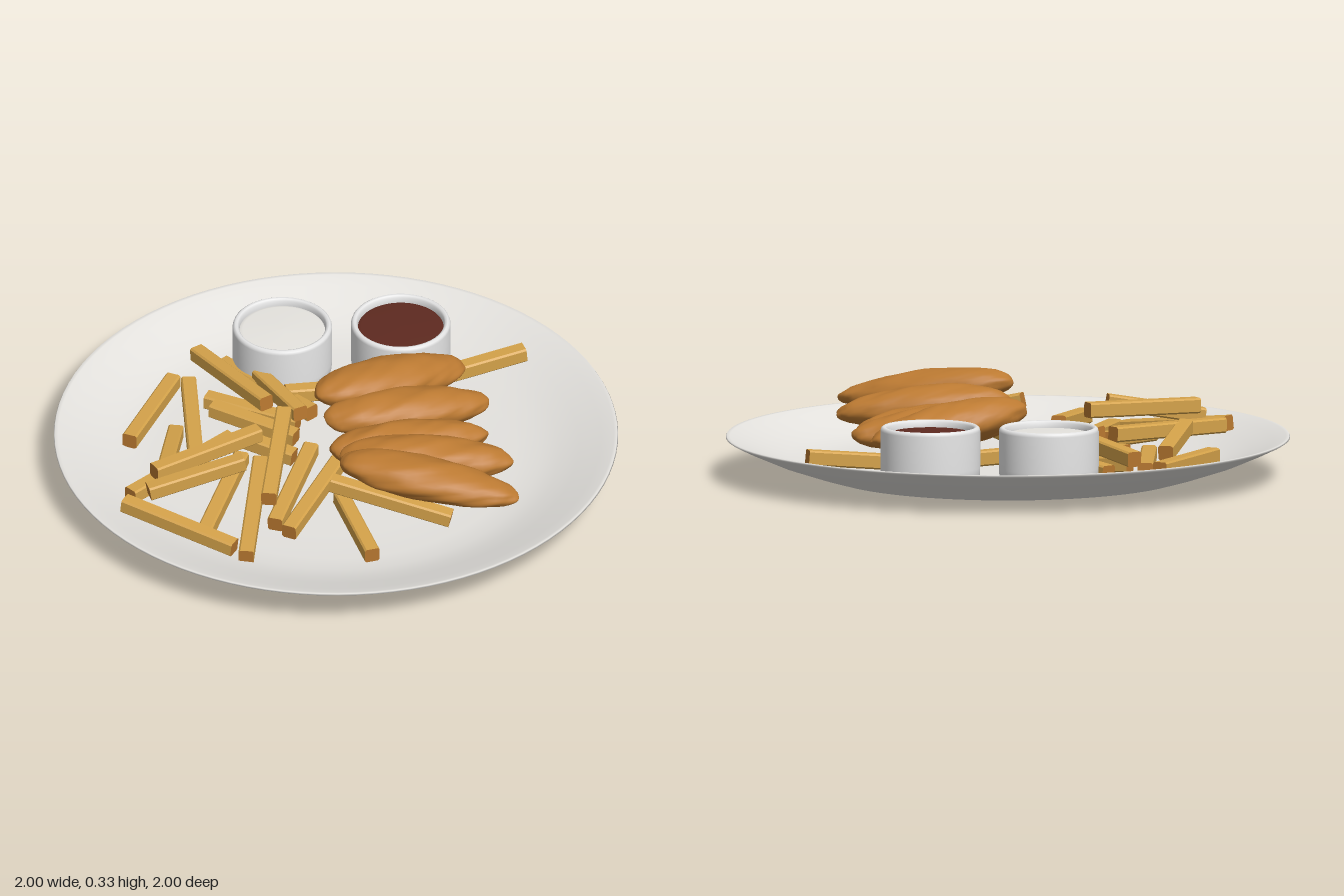
import * as THREE from 'three';

const mat = (name, color, extra = {}) => {
  const m = new THREE.MeshStandardMaterial({ color, ...extra });
  m.name = name;
  return m;
};

export function createModel() {
  const model = new THREE.Group();
  const china = mat('china', 0xe4e2de);
  const cupWhite = mat('cup white', 0xe6e6e6);
  const cream = mat('cream dip', 0xe6e4df);
  const red = mat('red sauce', 0x5e2a20);
  const potato = mat('fried potato', 0xd4a24a);
  const brown = mat('browned potato ends', 0xb87830);
  const crust = mat('crisp crust', 0xbc7a32);

  const add = (parent, name, geo, material) => {
    const mesh = new THREE.Mesh(geo, material);
    mesh.name = name;
    parent.add(mesh);
    return mesh;
  };
  const lathe = (pts, n) => new THREE.LatheGeometry(pts.map(([x, y]) => new THREE.Vector2(x, y)), n);

  // Plate: underside with a shallow foot, thin lip, sunken floor
  add(model, 'plate', lathe([
    [0, 0.012], [0.48, 0.012], [0.53, 0.008], [0.56, 0], [0.6, 0], [0.64, 0.006], [0.72, 0.029],
    [0.84, 0.069], [0.94, 0.112], [0.99, 0.136], [1, 0.142], [0.997, 0.147], [0.985, 0.146],
    [0.94, 0.13], [0.86, 0.1], [0.79, 0.075], [0.72, 0.058], [0.64, 0.05], [0.5, 0.048], [0, 0.048],
  ], 96), china);

  // Dip cups: rounded base, thick rim, filled just below the rim
  const cup = (name, x, z, fillName, fillMat) => {
    const g = new THREE.Group();
    g.name = name;
    g.position.set(x, 0.05, z);
    add(g, 'cup', lathe([
      [0, 0], [0.145, 0], [0.165, 0.008], [0.175, 0.025], [0.177, 0.06], [0.177, 0.19], [0.174, 0.2],
      [0.167, 0.205], [0.159, 0.203], [0.154, 0.196], [0.152, 0.18], [0.152, 0.12],
    ], 48), cupWhite);
    const fill = add(g, fillName, lathe([[0.154, 0.176], [0.14, 0.181], [0, 0.183]], 48), fillMat);
    fill.castShadow = false;
    model.add(g);
  };
  cup('creamDipCup', -0.08, -0.55, 'creamDip', cream);
  cup('redSauceCup', 0.335, -0.485, 'redSauce', red);

  // Fries: square sticks with chamfered edges, laid between two points [x, y, z, x, y, z]
  const w = 0.027, c = 0.006;
  const section = new THREE.Shape([
    [-w + c, -w], [w - c, -w], [w, -w + c], [w, w - c], [w - c, w], [-w + c, w], [-w, w - c], [-w, -w + c],
  ].map(([x, y]) => new THREE.Vector2(x, y)));
  const fries = new THREE.Group();
  fries.name = 'fries';
  model.add(fries);
  [
    [-0.48, 0.09, -0.52, -0.71, 0.09, -0.18],
    [-0.43, 0.085, -0.50, -0.50, 0.08, -0.03],
    [-0.38, 0.14, -0.60, -0.21, 0.17, -0.20],
    [-0.29, 0.09, -0.58, -0.05, 0.12, -0.18],
    [-0.39, 0.09, -0.38, -0.10, 0.08, -0.18],
    [-0.39, 0.12, -0.28, -0.13, 0.10, -0.07],
    [-0.19, 0.13, -0.43, -0.10, 0.15, -0.14],
    [-0.54, 0.10, -0.19, -0.65, 0.15, 0.13],
    [-0.37, 0.15, -0.04, -0.79, 0.14, 0.22],
    [-0.29, 0.225, 0.05, -0.70, 0.215, 0.20],
    [-0.73, 0.17, 0.25, -0.38, 0.23, 0.22],
    [-0.82, 0.14, 0.26, -0.48, 0.09, 0.54],
    [-0.35, 0.12, 0.04, -0.56, 0.085, 0.42],
    [-0.29, 0.12, 0.08, -0.45, 0.085, 0.60],
    [-0.17, 0.20, -0.09, -0.32, 0.16, 0.37],
    [-0.10, 0.13, 0.05, -0.31, 0.09, 0.43],
    [-0.02, 0.12, 0.14, -0.27, 0.085, 0.48],
    [-0.10, 0.215, 0.39, 0.30, 0.12, 0.56],
    [-0.05, 0.10, 0.32, -0.01, 0.085, 0.68],
    [-0.12, 0.13, -0.30, 0.30, 0.10, -0.31],
    [0.38, 0.10, -0.32, 0.76, 0.135, -0.375],
    [-0.33, 0.15, -0.03, -0.17, 0.13, 0.09],
  ].forEach(([x1, y1, z1, x2, y2, z2]) => {
    const a = new THREE.Vector3(x1, y1, z1), b = new THREE.Vector3(x2, y2, z2);
    const geo = new THREE.ExtrudeGeometry(section, { depth: a.distanceTo(b), bevelEnabled: false });
    const fry = add(fries, 'fry', geo, [brown, potato]);
    fry.position.copy(a);
    fry.lookAt(b);
  });

  // Breaded strips: lumpy tapered ellipsoids propped up at their left-hand ends
  const strips = new THREE.Group();
  strips.name = 'breadedStrips';
  model.add(strips);
  const stripGeometry = (l, h, d, seed) => {
    const geo = new THREE.SphereGeometry(1, 40, 28);
    geo.rotateZ(Math.PI / 2);
    const p = geo.attributes.position, v = new THREE.Vector3();
    for (let i = 0; i < p.count; i++) {
      v.fromBufferAttribute(p, i);
      const { x, y, z } = v;
      const lump = 1 + 0.035 * Math.sin(6 * x + 4 * z + seed) * Math.cos(5 * y + seed * 2)
        + 0.03 * Math.sin(11 * x - 5 * y + seed * 3) * Math.sin(7 * z + 3 * y + seed)
        + 0.015 * Math.sin(19 * x + 9 * z) * Math.cos(13 * y + seed);
      const taper = 1 - 0.1 * x;
      p.setXYZ(i, x * l * (1 + (lump - 1) * 0.4), y * h * lump * taper, z * d * lump * taper);
    }
    geo.computeVertexNormals();
    return geo;
  };
  // [x, y, z, half length, half height, half width, turn, tilt]
  [
    [0.235, 0.215, -0.19, 0.305, 0.075, 0.108, 0.33, -0.14],
    [0.265, 0.185, -0.035, 0.305, 0.075, 0.102, 0.1, -0.08],
    [0.235, 0.17, 0.14, 0.29, 0.075, 0.09, 0.06, -0.05],
    [0.265, 0.21, 0.305, 0.31, 0.075, 0.1, -0.14, -0.08],
    [0.235, 0.247, 0.485, 0.325, 0.068, 0.1, -0.38, -0.13],
  ].forEach(([x, y, z, l, h, d, turn, tilt], i) => {
    const strip = add(strips, 'breadedStrip', stripGeometry(l, h, d, i * 1.7 + 0.5), crust);
    strip.position.set(x, y, z);
    strip.rotation.set(0, turn, tilt);
  });

  return model;
}
